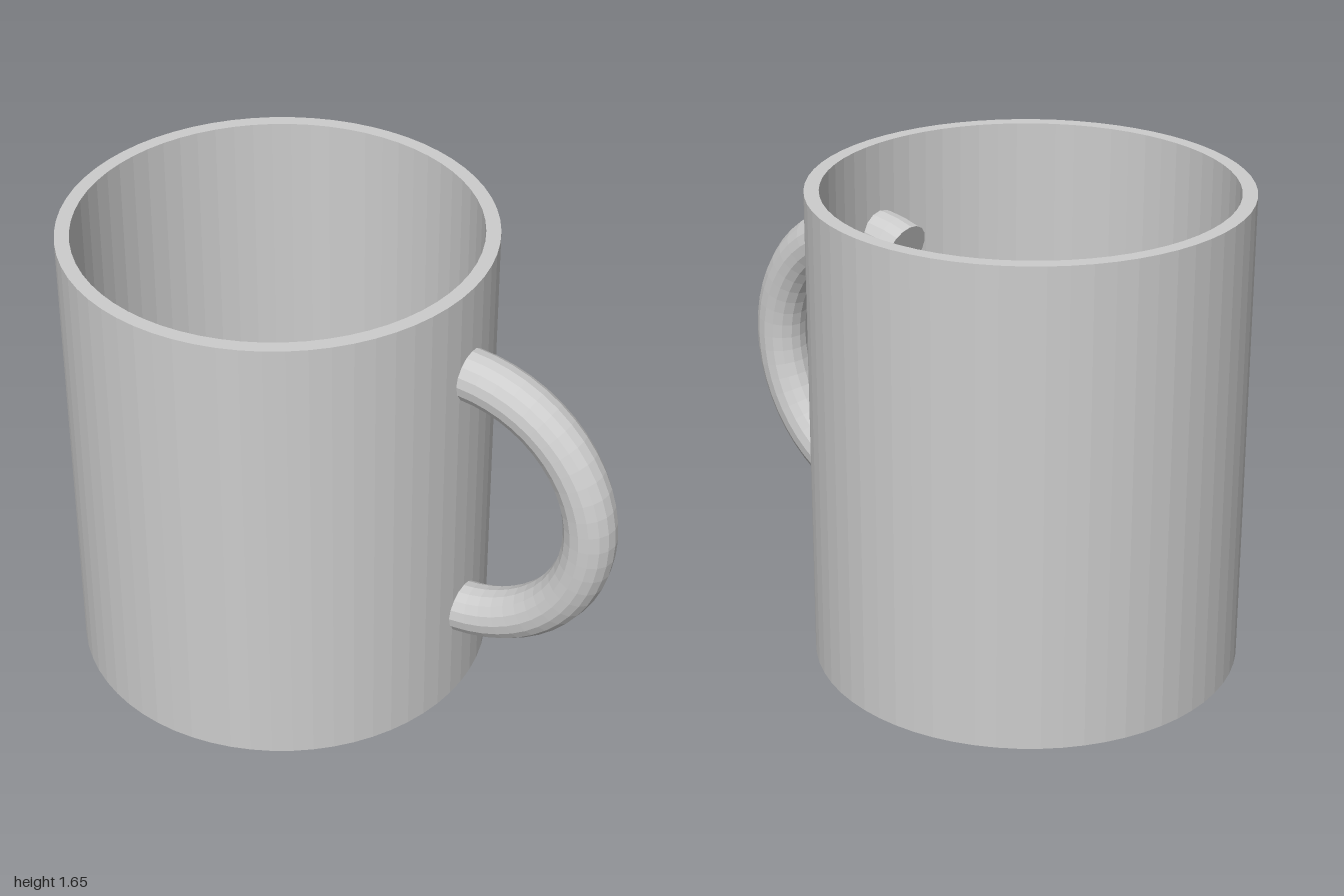
import * as THREE from 'three';

export function createModel() {
  const group = new THREE.Group();
  group.name = 'mug';
  const grey = new THREE.MeshStandardMaterial({ color: 0xcccccc, flatShading: true });
  grey.name = 'grey ceramic';

  // Hollow cup: underside, outer wall, rim, inner wall, floor
  const height = 1.65, outer = 0.727, inner = 0.678, floor = 0.05;
  const profile = [
    [0, 0], [outer, 0], [outer, height], [inner, height], [inner, floor], [0, floor],
  ].map(([r, y]) => new THREE.Vector2(r, y));
  const cup = new THREE.Mesh(new THREE.LatheGeometry(profile, 64), grey);
  cup.name = 'cup';
  cup.position.x = -0.273;
  group.add(cup);

  // Handle: a ring arc whose ends poke through the wall
  const ring = 0.485, tube = 0.09, halfArc = THREE.MathUtils.degToRad(107);
  const handle = new THREE.Group();
  handle.name = 'handle';
  handle.position.set(0.425, 0.835, 0);
  const arc = new THREE.Mesh(new THREE.TorusGeometry(ring, tube, 16, 32, halfArc * 2), grey);
  arc.name = 'handleArc';
  arc.rotation.z = -halfArc;
  handle.add(arc);

  // Flat caps closing both handle ends
  for (const side of [1, -1]) {
    const angle = side * halfArc;
    const cap = new THREE.Mesh(new THREE.CircleGeometry(tube, 16), grey);
    cap.name = side > 0 ? 'upperHandleEnd' : 'lowerHandleEnd';
    cap.position.set(Math.cos(angle) * ring, Math.sin(angle) * ring, 0);
    const outward = new THREE.Vector3(-Math.sin(angle) * side, Math.cos(angle) * side, 0);
    cap.quaternion.setFromUnitVectors(new THREE.Vector3(0, 0, 1), outward);
    handle.add(cap);
  }
  group.add(handle);
  return group;
}
